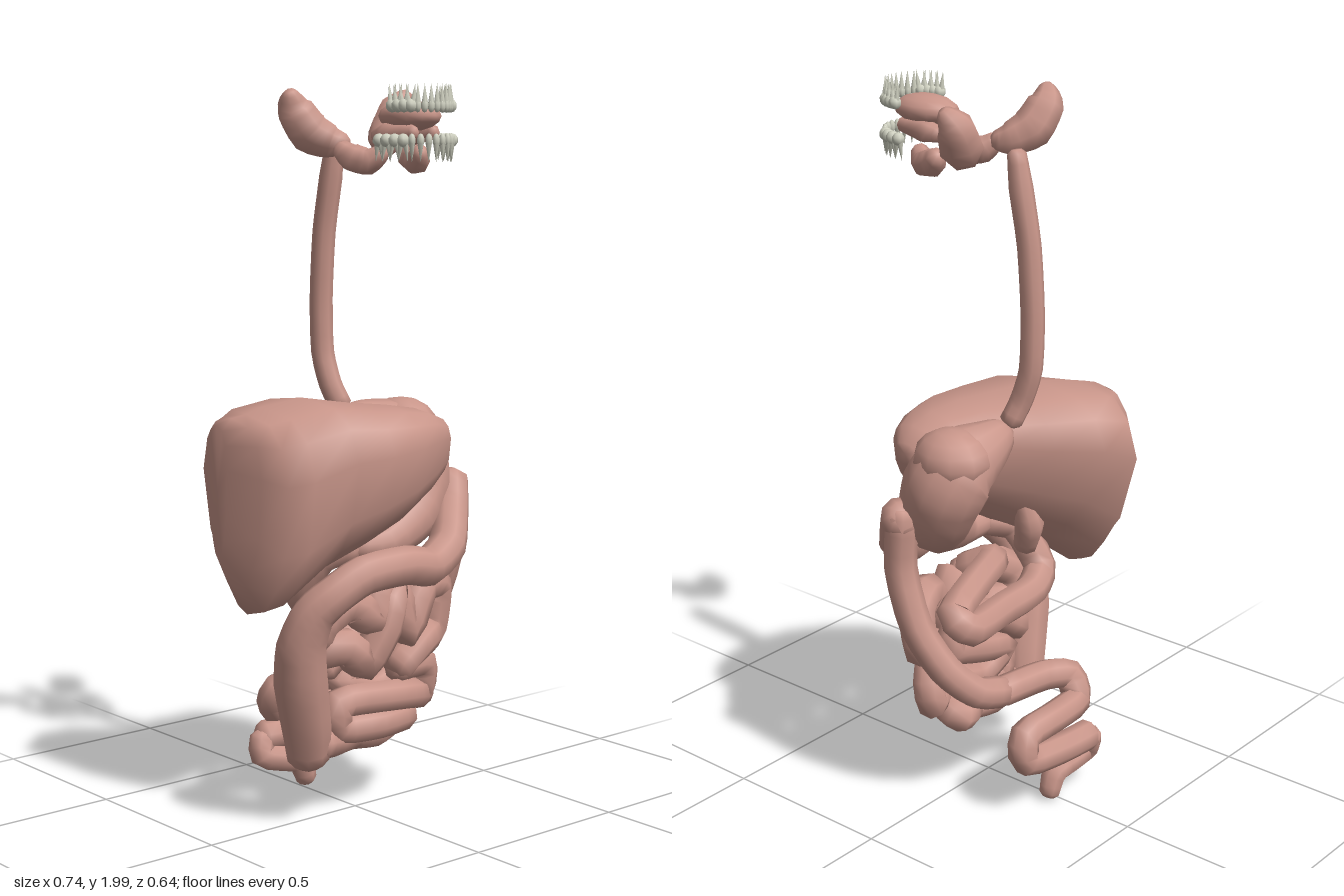
import * as THREE from 'three';

const flesh = new THREE.MeshStandardMaterial({ color: 0xc9968a });
const enamel = new THREE.MeshStandardMaterial({ color: 0xcfd0c0 });
const V = (p) => new THREE.Vector3(p[0], p[1], p[2]);
const MID = 0.02; // symmetry plane of the head parts

// Closed skin over a list of vertex rings, all with the same number of corners
function loft(rings) {
  const n = rings[0].length, m = rings.length, pos = [], index = [];
  rings.forEach((r) => r.forEach((p) => pos.push(p.x, p.y, p.z)));
  for (const r of [rings[0], rings[m - 1]]) {
    const c = r.reduce((s, p) => s.add(p), new THREE.Vector3()).divideScalar(n);
    pos.push(c.x, c.y, c.z);
  }
  for (let j = 0; j < n; j++) {
    const k = (j + 1) % n, e = (m - 1) * n;
    for (let i = 0; i < m - 1; i++) {
      const a = i * n, b = a + n;
      index.push(a + j, a + k, b + j, a + k, b + k, b + j);
    }
    index.push(m * n, k, j, m * n + 1, e + j, e + k);
  }
  const g = new THREE.BufferGeometry();
  g.setAttribute('position', new THREE.Float32BufferAttribute(pos, 3));
  g.setIndex(index);
  g.computeVertexNormals();
  return g;
}

// Tube through points [x, y, z, radius] with tight bends; a default radius serves plain points
function organ(points, radius = 0.04, sides = 8) {
  const steps = 3;
  const curve = new THREE.CatmullRomCurve3(points.map(V), false, 'catmullrom', 0.35);
  const count = (points.length - 1) * steps;
  const rad = points.map((p) => p[3] ?? radius);
  const u = new THREE.Vector3(), rings = [];
  for (let i = 0; i <= count; i++) {
    const t = i / count, k = Math.min(Math.floor(i / steps), rad.length - 2);
    const r = THREE.MathUtils.lerp(rad[k], rad[k + 1], i / steps - k);
    const c = curve.getPoint(t), d = curve.getTangent(t);
    if (i === 0) u.set(0, 0, 1).cross(d).lengthSq() < 0.1 ? u.set(1, 0, 0) : u.set(0, 0, 1);
    u.addScaledVector(d, -u.dot(d)).normalize();
    const v = d.clone().cross(u);
    const ring = (centre, s) => Array.from({ length: sides }, (_, j) => {
      const a = (j / sides) * Math.PI * 2;
      return centre.clone().addScaledVector(u, Math.cos(a) * s).addScaledVector(v, Math.sin(a) * s);
    });
    // rounded tips
    if (i === 0) rings.push(ring(c.clone().addScaledVector(d, -r * 0.4), r * 0.55));
    rings.push(ring(c, r));
    if (i === count) rings.push(ring(c.clone().addScaledVector(d, r * 0.4), r * 0.55));
  }
  return loft(rings);
}

// Liver: boxy oval sections along x given as [x, yMin, yMax, zMin, zMax]
function liverGeometry() {
  const sections = [
    [-0.37, 0.74, 1.1, -0.18, -0.09], [-0.345, 0.66, 1.12, -0.23, 0.03], [-0.31, 0.585, 1.13, -0.27, 0.1],
    [-0.26, 0.6, 1.145, -0.315, 0.15], [-0.15, 0.7, 1.165, -0.29, 0.2],
    [-0.05, 0.76, 1.15, -0.2, 0.23], [0.05, 0.82, 1.14, -0.1, 0.23],
    [0.14, 0.88, 1.125, -0.03, 0.2], [0.2, 0.93, 1.1, 0.02, 0.17], [0.235, 1.0, 1.06, 0.06, 0.13],
  ];
  const soft = (c) => Math.sign(c) * Math.abs(c) ** 0.7;
  return loft(sections.map(([x, y0, y1, z0, z1]) => Array.from({ length: 14 }, (_, j) => {
    const a = (j / 14) * Math.PI * 2, h = soft(Math.cos(a)), s = soft(Math.sin(a));
    // the lower half narrows to an edge, mostly from the back
    const w = s * (1 + Math.min(h, 0) * (s < 0 ? 0.65 : 0.3));
    return new THREE.Vector3(x, (y0 + y1) / 2 + (h * (y1 - y0)) / 2, (z0 + z1) / 2 + (w * (z1 - z0)) / 2);
  })));
}

// One tooth: crown at the origin, roots pointing up
function tooth(molar) {
  const g = new THREE.Group();
  const crown = new THREE.Mesh(new THREE.SphereGeometry(1, 7, 5), enamel);
  crown.scale.set(molar ? 0.017 : 0.01, 0.018, molar ? 0.018 : 0.009);
  crown.name = 'crown';
  g.add(crown);
  for (const s of molar ? [-1, 1] : [0]) {
    const root = new THREE.Mesh(new THREE.ConeGeometry(0.009, 0.05, 5), enamel);
    root.position.set(s * 0.009, 0.031, 0);
    root.rotation.z = -s * 0.12;
    root.name = 'root';
    g.add(root);
  }
  return g;
}

// Half-oval row of sixteen teeth; the lower row is turned upside down
function toothRow(name, y, width, back, upsideDown) {
  const row = new THREE.Group();
  row.name = name;
  for (let i = 0; i < 16; i++) {
    const a = ((i - 7.5) / 7.5) * 1.5;
    const t = tooth(Math.abs(i - 7.5) > 4);
    t.name = 'tooth';
    t.position.set(MID + Math.sin(a) * width, y, back + Math.cos(a) * (0.31 - back));
    t.rotation.set(upsideDown ? Math.PI : 0, upsideDown ? -a : a, 0);
    row.add(t);
  }
  return row;
}

export function createModel() {
  const model = new THREE.Group();
  const add = (name, geometry) => {
    const mesh = new THREE.Mesh(geometry, flesh);
    mesh.name = name;
    model.add(mesh);
    return mesh;
  };

  // Mouth
  const tongue = add('tongue', new THREE.SphereGeometry(1, 12, 8));
  tongue.scale.set(0.066, 0.04, 0.1);
  tongue.position.set(MID, 1.912, 0.195);
  model.add(toothRow('upperTeeth', 1.938, 0.088, 0.22, false), toothRow('lowerTeeth', 1.85, 0.108, 0.19, true));

  // Salivary glands, mirrored
  for (const [side, s] of [['left', 1], ['right', -1]]) {
    const gland = (name, pts) => add(side + name, organ(pts.map(([x, y, z, r]) => [MID + s * x, y, z, r]), 0.03, 7));
    gland('ParotidGland', [[0.205, 1.97, -0.045, 0.022], [0.18, 1.93, -0.06, 0.05],
      [0.14, 1.87, -0.045, 0.058], [0.095, 1.845, -0.01, 0.045], [0.07, 1.84, 0.02, 0.026]]);
    gland('SubmandibularGland', [[0.12, 1.83, 0.055, 0.024], [0.105, 1.805, 0.085, 0.038],
      [0.085, 1.795, 0.13, 0.036], [0.065, 1.82, 0.165, 0.022]]);
    gland('SublingualGland', [[0.04, 1.86, 0.11, 0.02], [0.042, 1.865, 0.16, 0.032], [0.035, 1.87, 0.25, 0.02]]);
  }

  // Gullet and stomach
  add('esophagus', organ([[0.02, 1.84, -0.11, 0.025], [0.02, 1.75, -0.125], [0.016, 1.6, -0.15],
    [0.016, 1.42, -0.163], [0.018, 1.27, -0.16], [0.025, 1.18, -0.135], [0.045, 1.12, -0.115]], 0.032));
  add('stomach', organ([[0.06, 1.09, -0.1, 0.042], [0.12, 1.065, -0.09, 0.075], [0.2, 1.02, -0.06, 0.115],
    [0.225, 0.97, -0.04, 0.118], [0.215, 0.88, 0, 0.104], [0.15, 0.81, 0.045, 0.08],
    [0.04, 0.76, 0.07, 0.055], [-0.05, 0.76, 0.05, 0.038]], 0.08, 12));
  const fundus = add('fundus', new THREE.SphereGeometry(1, 10, 8));
  fundus.scale.set(0.1, 0.085, 0.11);
  fundus.position.set(0.222, 1.05, -0.06);
  add('liver', liverGeometry());
  add('gallbladder', organ([[-0.06, 0.86, -0.07, 0.025], [-0.08, 0.77, -0.08, 0.042], [-0.1, 0.69, -0.05, 0.034]]));

  // Small intestine
  add('duodenum', organ([[-0.05, 0.76, 0.05], [-0.12, 0.73, 0], [-0.14, 0.62, -0.07], [-0.05, 0.585, -0.11],
    [0.1, 0.59, -0.13], [0.27, 0.605, -0.165], [0.3, 0.65, -0.13], [0.14, 0.68, -0.08],
    [0.02, 0.68, -0.03], [0.04, 0.64, 0.05]], 0.047));
  add('jejunum', organ([[0.04, 0.64, 0.05], [0.0, 0.55, 0.07], [-0.08, 0.61, 0.07], [-0.16, 0.56, 0.05],
    [-0.16, 0.48, 0.02], [-0.09, 0.49, 0.07], [-0.02, 0.43, 0.06], [0.04, 0.53, 0.08], [0.08, 0.62, 0.07],
    [0.12, 0.5, 0.07], [0.19, 0.62, 0.06], [0.27, 0.6, 0.03], [0.26, 0.48, 0.02], [0.18, 0.46, 0.06],
    [0.1, 0.4, 0.06]], 0.052));
  add('ileum', organ([[0.1, 0.4, 0.06], [0.21, 0.39, 0.04], [0.22, 0.3, 0.02], [0.12, 0.32, 0.07],
    [0, 0.33, 0.07], [-0.11, 0.33, 0.06], [-0.1, 0.26, 0.05], [0.02, 0.255, 0.07], [0.13, 0.255, 0.05],
    [0.13, 0.23, -0.01], [0.05, 0.22, 0.03], [-0.02, 0.22, 0.01], [-0.1, 0.22, 0.03], [-0.17, 0.23, 0.05]], 0.046));
  add('innerLoops', organ([[-0.12, 0.42, 0.0], [0.0, 0.5, -0.01], [0.14, 0.55, -0.03], [0.2, 0.48, -0.03],
    [0.06, 0.42, -0.01], [-0.06, 0.38, 0.0], [0.05, 0.33, 0.0], [0.16, 0.36, -0.01]], 0.046));

  // Large intestine, from the lower right up, across and down to the rectum
  add('ascendingAndTransverseColon', organ([[-0.188, 0.185, 0.025, 0.058], [-0.21, 0.28, 0.045, 0.068],
    [-0.25, 0.42, 0.07, 0.074], [-0.268, 0.53, 0.095, 0.068], [-0.255, 0.615, 0.13, 0.058],
    [-0.215, 0.665, 0.165], [-0.13, 0.715, 0.19], [0.0, 0.725, 0.205], [0.1, 0.705, 0.19],
    [0.2, 0.745, 0.155], [0.28, 0.83, 0.08], [0.325, 0.9, 0.03]], 0.054, 9));
  add('descendingColon', organ([[0.32, 0.9, 0.03], [0.318, 0.74, 0.04], [0.315, 0.58, -0.01], [0.28, 0.46, -0.08],
    [0.21, 0.38, -0.13], [0.12, 0.35, -0.145]], 0.045));
  add('sigmoidColon', organ([[0.12, 0.35, -0.145], [-0.04, 0.34, -0.16], [-0.12, 0.325, -0.195], [-0.11, 0.26, -0.23],
    [0.02, 0.26, -0.245], [0.13, 0.25, -0.24], [0.13, 0.175, -0.245], [0.0, 0.165, -0.265], [-0.11, 0.165, -0.275]], 0.044));
  add('rectum', organ([[-0.11, 0.165, -0.275], [-0.125, 0.115, -0.26], [-0.06, 0.095, -0.25], [-0.005, 0.08, -0.24],
    [0.02, 0.02, -0.24, 0.03]], 0.038));
  return model;
}
